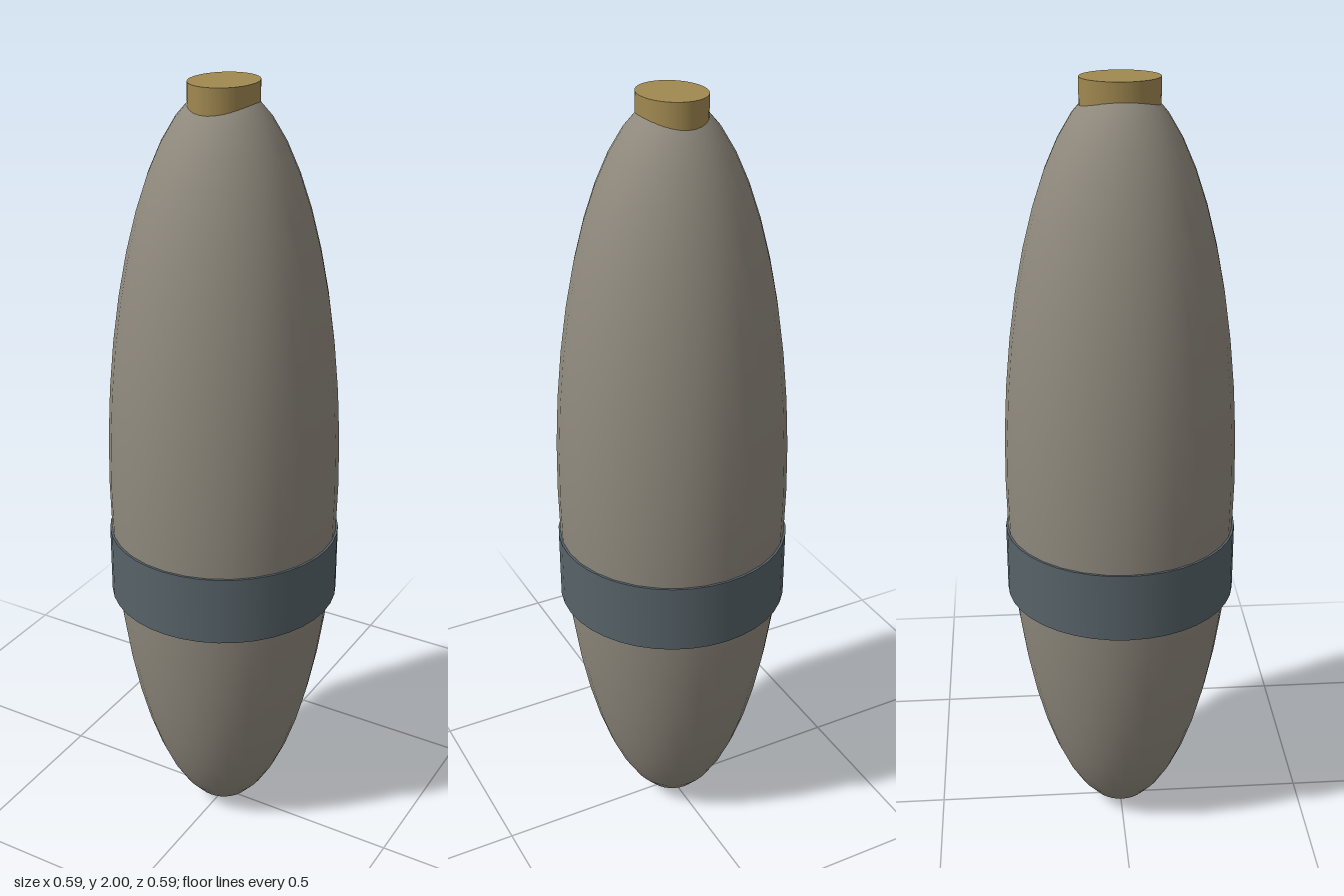
import * as THREE from 'three';

const material = (name, color) => {
  const m = new THREE.MeshStandardMaterial({ color });
  m.name = name;
  return m;
};

export function createModel() {
  const shellGrey = material('warm grey', 0x8f897d);
  const bandSteel = material('blue steel', 0x566268);
  const capBrass = material('brass', 0xa08850);

  const group = new THREE.Group();
  group.name = 'ellipsoidCapsule';
  const add = (name, geometry, mat, y) => {
    const mesh = new THREE.Mesh(geometry, mat);
    mesh.name = name;
    mesh.position.y = y;
    group.add(mesh);
  };

  // Long ellipsoid body
  const body = new THREE.SphereGeometry(1, 32, 24);
  body.scale(0.292, 0.997, 0.292);
  add('body', body, shellGrey, 0.997);

  // Straight band around the lower half
  add('band', new THREE.CylinderGeometry(0.295, 0.295, 0.18, 40), bandSteel, 0.78);

  // Oval cap sunk into the tip
  const cap = new THREE.CylinderGeometry(1, 1, 0.1, 40);
  cap.scale(0.08, 1, 0.095);
  add('cap', cap, capBrass, 1.95);

  return group;
}
